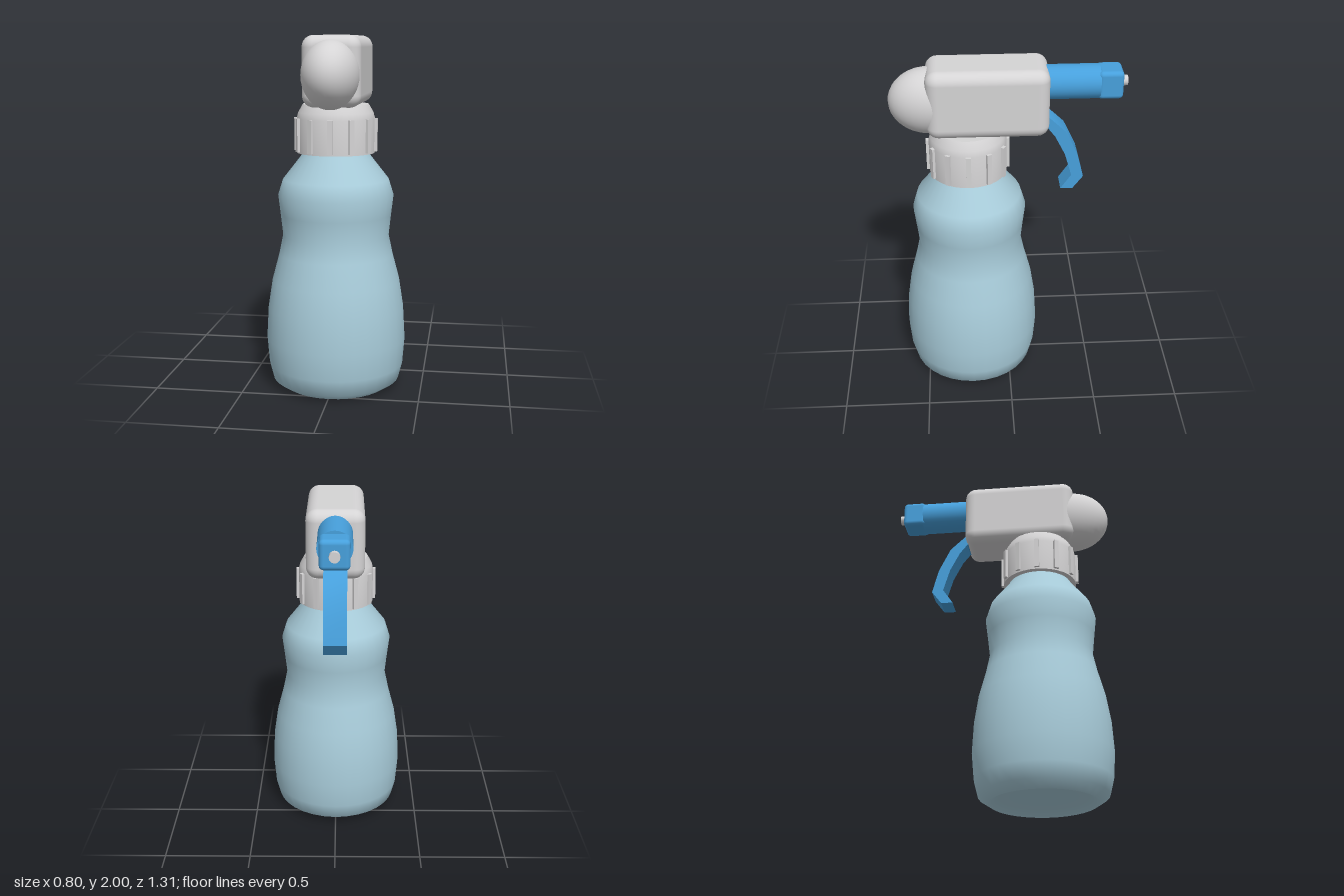
import * as THREE from 'three';
import { toCreasedNormals } from 'three/addons/utils/BufferGeometryUtils.js';
import { RoundedBoxGeometry } from 'three/addons/geometries/RoundedBoxGeometry.js';

const AXIS_Z = 0.225; // bottle axis

function material(name, color) {
  const m = new THREE.MeshStandardMaterial({ color });
  m.name = name;
  return m;
}

export function createModel() {
  const model = new THREE.Group();
  model.name = 'sprayBottle';
  const bottleBlue = material('paleBlue', 0xa9cddb);
  const grey = material('lightGrey', 0xd5d4d5);
  const blue = material('brightBlue', 0x47a0dc);

  const add = (name, geometry, mat, x, y, z, parent = model) => {
    const mesh = new THREE.Mesh(geometry, mat);
    mesh.name = name;
    mesh.position.set(x, y, z);
    parent.add(mesh);
    return mesh;
  };
  const lathe = (points, segments = 32) =>
    new THREE.LatheGeometry(points.map(([r, y]) => new THREE.Vector2(r, y)), segments);

  // Bottle: waisted body and a slightly hollow base
  add('bottleBody', lathe([
    [0.305, 0], [0.365, 0.04], [0.388, 0.13], [0.4, 0.28], [0.39, 0.46], [0.365, 0.62],
    [0.325, 0.77], [0.302, 0.88], [0.315, 1.0], [0.328, 1.11], [0.3, 1.2], [0.19, 1.34], [0.18, 1.4],
  ]), bottleBlue, 0, 0, AXIS_Z);
  add('bottleBase', lathe([[0, 0.05], [0.15, 0.045], [0.26, 0.03], [0.305, 0]]), bottleBlue, 0, 0, AXIS_Z);

  // Screw collar with grip ribs
  const collar = new THREE.Group();
  collar.name = 'collar';
  collar.position.z = AXIS_Z;
  model.add(collar);
  add('collarBody', toCreasedNormals(lathe([
    [0, 1.35], [0.22, 1.35], [0.22, 1.54], [0.212, 1.575], [0.185, 1.622], [0, 1.622],
  ]), 0.7), grey, 0, 0, 0, collar);
  for (let i = 0; i < 12; i++) {
    const a = (i * Math.PI) / 6;
    const rib = add('collarRib', new THREE.BoxGeometry(0.028, 0.185, 0.03), grey,
      Math.sin(a) * 0.22, 1.452, Math.cos(a) * 0.22, collar);
    rib.rotation.y = a;
  }

  // Pump housing and its domed end
  add('housing', new RoundedBoxGeometry(0.325, 0.39, 0.67, 5, 0.065), grey, 0, 1.805, 0.112);
  const dome = add('housingDome', new THREE.SphereGeometry(1, 32, 20), grey, 0, 1.788, 0.43);
  dome.scale.set(0.158, 0.188, 0.225);

  // Nozzle barrel, block and tip
  const barrel = add('nozzleBarrel', new THREE.CylinderGeometry(0.095, 0.095, 0.36, 32), blue, 0, 1.88, -0.32);
  barrel.rotation.x = Math.PI / 2;
  add('nozzleBlock', new RoundedBoxGeometry(0.16, 0.16, 0.14, 4, 0.025), blue, 0, 1.88, -0.556);
  const tip = add('nozzleTip', new THREE.CylinderGeometry(0.029, 0.029, 0.04, 12), grey, 0, 1.88, -0.635);
  tip.rotation.x = Math.PI / 2;

  // Trigger: side outline as [distance behind centre, height], extruded across
  const outline = [
    [0.18, 1.64], [0.215, 1.635], [0.262, 1.575], [0.32, 1.46], [0.36, 1.325], [0.3, 1.237],
    [0.37, 1.237], [0.428, 1.315], [0.39, 1.46], [0.32, 1.605], [0.225, 1.695], [0.18, 1.71],
  ];
  const width = 0.13;
  const triggerShape = new THREE.Shape(outline.map(([d, y]) => new THREE.Vector2(d, y)));
  const triggerGeo = new THREE.ExtrudeGeometry(triggerShape, { depth: width, bevelEnabled: false });
  triggerGeo.translate(0, 0, -width / 2).rotateY(Math.PI / 2);
  add('trigger', toCreasedNormals(triggerGeo, 0.5), blue, 0, 0, 0);

  return model;
}
